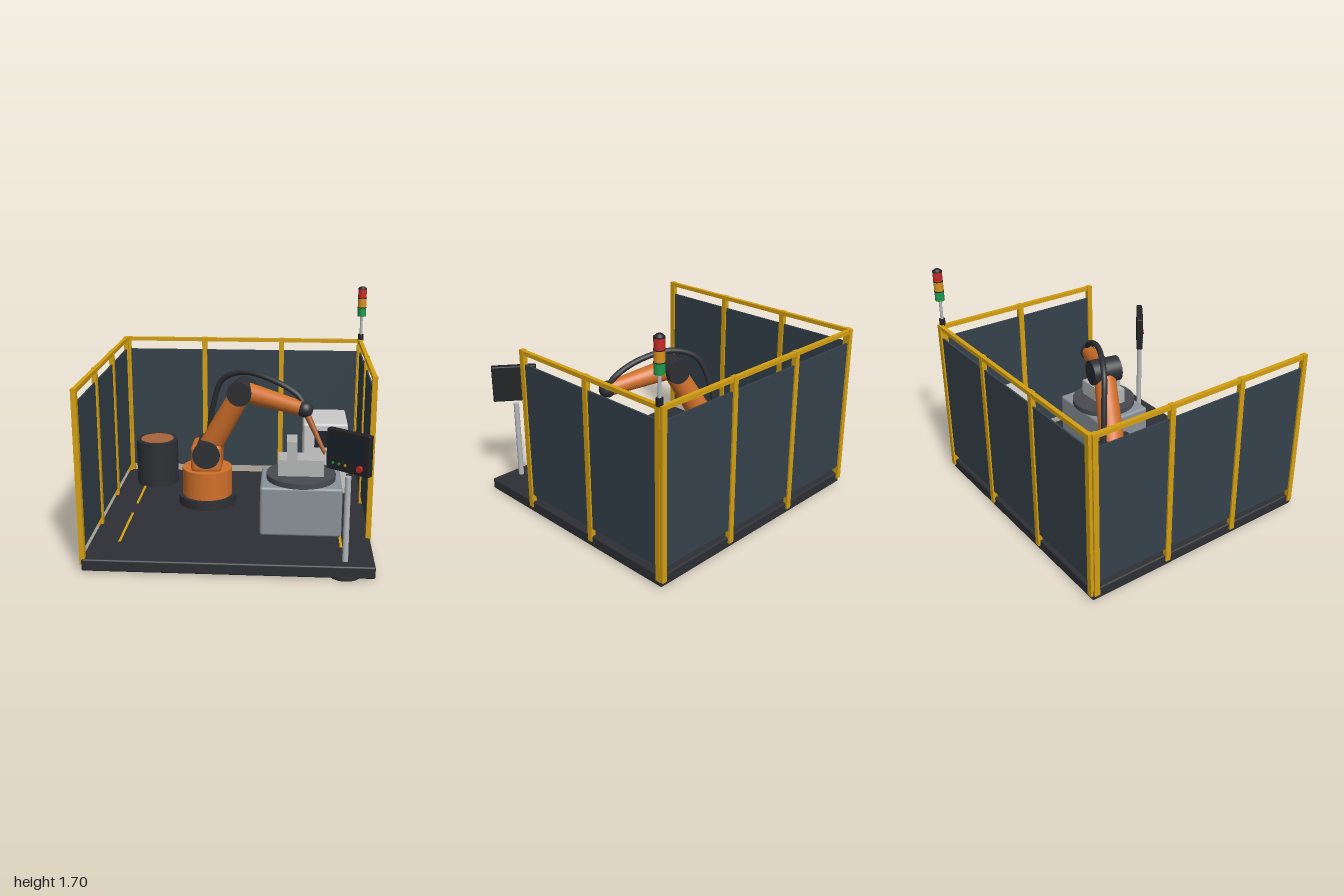
import * as THREE from 'three';
import { RoundedBoxGeometry } from 'three/addons/geometries/RoundedBoxGeometry.js';

const mat = (color) => new THREE.MeshStandardMaterial({ color });
const M = {
  dark: mat(0x2e3035), black: mat(0x222326), panel: mat(0x36424b), yellow: mat(0xd4a012),
  orange: mat(0xd0702a), torch: mat(0xa85c28), copper: mat(0xa8653c), steel: mat(0x8b9299),
  disc: mat(0x484b50), part: mat(0xb4b5b6), cabinet: mat(0xcccccc), pole: mat(0xb5b8bc),
  screen: mat(0x18222b), red: mat(0xc42a26), amber: mat(0xd8921c), green: mat(0x1f9a4c),
};
const V = (x, y, z) => new THREE.Vector3(x, y, z);

function add(parent, name, geometry, material, x = 0, y = 0, z = 0) {
  const mesh = new THREE.Mesh(geometry, material);
  mesh.name = name;
  mesh.position.set(x, y, z);
  parent.add(mesh);
  return mesh;
}

function group(parent, name) {
  const g = new THREE.Group();
  g.name = name;
  parent.add(g);
  return g;
}

// Box given by its minimum and maximum on each axis, optionally rounded
function box(parent, name, material, [x0, x1], [y0, y1], [z0, z1], r = 0) {
  const s = [x1 - x0, y1 - y0, z1 - z0];
  const g = r ? new RoundedBoxGeometry(...s, 3, r) : new THREE.BoxGeometry(...s);
  return add(parent, name, g, material, (x0 + x1) / 2, (y0 + y1) / 2, (z0 + z1) / 2);
}

// Upright cylinder from y0 to y1
function drum(parent, name, material, x, z, r, y0, y1, rTop = r) {
  return add(parent, name, new THREE.CylinderGeometry(rTop, r, y1 - y0, 40), material, x, (y0 + y1) / 2, z);
}

// Tapered round link between two points
function link(parent, name, material, a, b, ra, rb) {
  const d = b.clone().sub(a);
  const m = add(parent, name, new THREE.CylinderGeometry(rb, ra, d.length(), 32), material);
  m.position.copy(a).add(b).multiplyScalar(0.5);
  m.quaternion.setFromUnitVectors(V(0, 1, 0), d.normalize());
  return m;
}

// Fence run between two ground points: posts, top rail and infill panels
function fence(parent, name, x0, z0, x1, z1, bays) {
  const f = group(parent, name);
  const len = Math.hypot(x1 - x0, z1 - z0), h = len / 2, step = len / bays;
  f.position.set((x0 + x1) / 2, 0, (z0 + z1) / 2);
  f.rotation.y = -Math.atan2(z1 - z0, x1 - x0);
  for (let i = 0; i <= bays; i++) {
    const x = -h + i * step;
    box(f, 'fencePost', M.yellow, [x - 0.02, x + 0.02], [0.05, 1.268], [-0.018, 0.018]);
    if (i < bays) box(f, 'fencePanel', M.panel, [x + 0.015, x + step - 0.015], [0.15, 1.165], [-0.006, 0.006]);
  }
  box(f, 'topRail', M.yellow, [-h, h], [1.235, 1.265], [-0.015, 0.015]);
}

function robotArm(root) {
  const arm = group(root, 'robotArm');
  const shoulder = V(-0.24, 0.51, -0.21), elbow = V(0.035, 1.02, -0.09), wrist = V(0.5, 0.936, 0.09);
  const tip = V(0.64, 0.65, 0.172);

  // Pedestal and shoulder
  drum(arm, 'pedestalBase', M.dark, -0.243, -0.21, 0.223, 0.09, 0.165);
  drum(arm, 'turret', M.orange, -0.243, -0.21, 0.193, 0.165, 0.38);
  box(arm, 'shoulderHousing', M.orange, [-0.36, -0.125], [0.36, 0.585], [-0.34, -0.08], 0.04);
  const shoulderJoint = link(arm, 'shoulderJoint', M.dark, V(-0.24, 0.51, -0.35), V(-0.24, 0.51, -0.07), 0.105, 0.105);
  shoulderJoint.geometry.rotateY(0.1);

  // Links and joints
  link(arm, 'upperArm', M.orange, shoulder, elbow, 0.092, 0.078);
  const axis = V(-0.2, 0, 0.98).multiplyScalar(0.108);
  link(arm, 'elbowJoint', M.dark, elbow.clone().sub(axis), elbow.clone().add(axis), 0.092, 0.092);
  link(arm, 'forearm', M.orange, elbow, wrist, 0.08, 0.052);
  add(arm, 'wristJoint', new THREE.SphereGeometry(0.06, 32, 20), M.dark).position.copy(wrist);

  // Welding torch
  link(arm, 'torch', M.torch, wrist, tip, 0.027, 0.014);
  link(arm, 'torchNozzle', M.torch, tip, V(0.645, 0.625, 0.175), 0.014, 0.006);

  // Cable running over the arm
  const path = new THREE.CatmullRomCurve3([
    V(-0.245, 0.56, -0.3), V(-0.2, 0.85, -0.26), V(-0.12, 1.08, -0.2), V(0.05, 1.16, -0.11),
    V(0.28, 1.12, -0.005), V(0.45, 1.03, 0.055), V(0.505, 0.95, 0.085),
  ]);
  add(arm, 'cable', new THREE.TubeGeometry(path, 64, 0.021, 12), M.dark);
}

function workStation(root) {
  const g = group(root, 'workStation');
  box(g, 'table', M.steel, [0.19, 0.77], [0.095, 0.46], [-0.005, 0.445], 0.02);
  drum(g, 'turntable', M.disc, 0.48, 0.22, 0.25, 0.46, 0.5);
  box(g, 'workpieceBase', M.part, [0.315, 0.64], [0.5, 0.62], [0.125, 0.31]);
  box(g, 'workpieceUpright', M.part, [0.375, 0.45], [0.62, 0.755], [0.126, 0.309]);
}

function controlPanel(root) {
  const g = group(root, 'controlPanel');
  drum(g, 'standFoot', M.dark, 0.775, 0.82, 0.11, 0, 0.022);
  drum(g, 'standPole', M.pole, 0.775, 0.815, 0.02, 0.02, 0.69);
  // Head turned towards the operator
  const head = group(g, 'panelHead');
  head.position.set(0.777, 0.858, 0.813);
  head.rotation.y = -0.643;
  add(head, 'panelCase', new RoundedBoxGeometry(0.325, 0.275, 0.05, 2, 0.008), M.black);
  box(head, 'panelScreen', M.screen, [-0.142, 0.13], [-0.043, 0.107], [0.02, 0.028]);
  const button = (name, material, x, r, depth) =>
    add(head, name, new THREE.CylinderGeometry(r, r, depth, 20).rotateX(Math.PI / 2), material, x, -0.088, 0.025 + depth / 2);
  [M.green, M.green, M.amber].forEach((m, i) => button('smallButton', m, -0.106 + i * 0.047, 0.009, 0.006));
  button('stopButton', M.red, 0.1, 0.021, 0.018);
}

function signalTower(root) {
  const g = group(root, 'signalTower'), x = 0.962, z = -0.897;
  drum(g, 'towerBase', M.black, x, z, 0.022, 1.26, 1.312);
  drum(g, 'towerPole', M.pole, x, z, 0.011, 1.31, 1.46);
  [M.green, M.amber, M.red].forEach((m, i) => {
    const y = 1.46 + i * 0.075;
    drum(g, 'signalLamp', m, x, z, 0.034, y, y + 0.069);
    drum(g, 'lampRing', M.black, x, z, 0.036, y + 0.069, y + 0.075);
  });
  drum(g, 'towerCap', M.black, x, z, 0.034, 1.685, 1.7, 0.018);
}

export function createModel() {
  const root = new THREE.Group();
  root.name = 'weldingCell';

  // Floor plate with safety markings
  box(root, 'floorPlate', M.dark, [-0.988, 0.972], [0.01, 0.095], [-0.918, 0.908], 0.012);
  for (const x of [-0.785, 0.76]) {
    for (const z of [[-0.61, -0.11], [0.085, 0.61]]) {
      box(root, 'floorMarking', M.yellow, [x - 0.009, x + 0.009], [0.09, 0.098], z);
    }
  }

  // Fencing on three sides, the right run being shorter
  fence(root, 'backFence', -0.966, -0.915, 0.955, -0.915, 3);
  fence(root, 'rightFence', -0.982, 0.88, -0.982, -0.89, 3);
  fence(root, 'leftFence', 0.96, 0.42, 0.96, -0.89, 2);

  robotArm(root);
  workStation(root);
  controlPanel(root);
  signalTower(root);

  // Wire drum
  drum(root, 'wireDrum', M.dark, -0.7, -0.635, 0.17, 0.095, 0.465);
  drum(root, 'wireCoil', M.copper, -0.7, -0.635, 0.133, 0.45, 0.469);

  // Controller cabinet
  box(root, 'cabinet', M.cabinet, [0.5, 0.852], [0.095, 0.68], [-0.86, -0.41], 0.02);
  box(root, 'cabinetDisplay', M.screen, [0.59, 0.76], [0.49, 0.625], [-0.415, -0.402]);
  return root;
}
